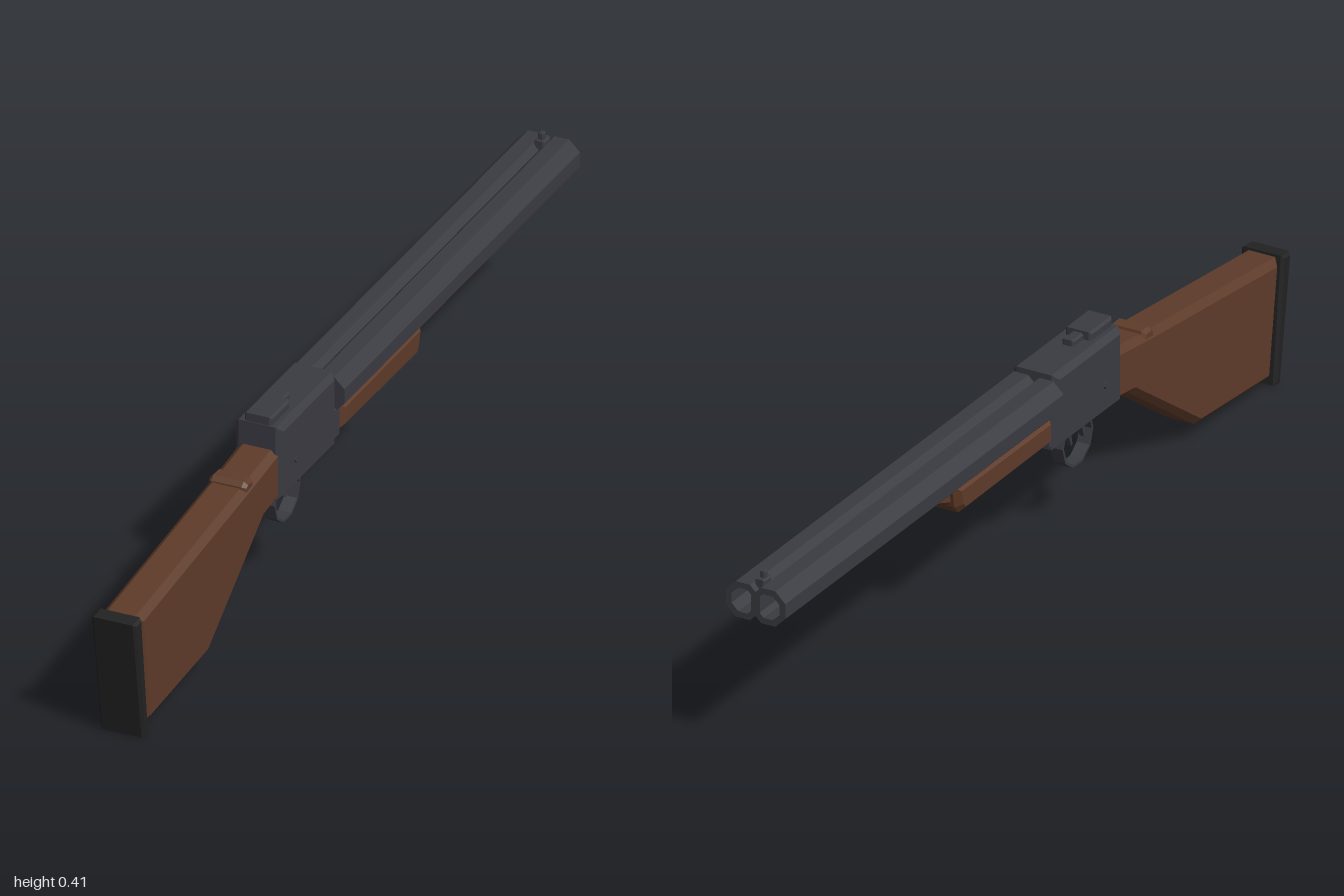
import * as THREE from 'three';

const material = (name, color) => {
  const m = new THREE.MeshStandardMaterial({ color, flatShading: true });
  m.name = name;
  return m;
};

export function createModel() {
  const metal = material('gunmetal', 0x3a3a42);
  const wood = material('walnut', 0x5e3b29);
  const rubber = material('black rubber', 0x222222);
  const root = new THREE.Group();
  root.name = 'doubleBarrelGun';

  const add = (name, geometry, mat, x = 0, y = 0, z = 0) => {
    const mesh = new THREE.Mesh(geometry, mat);
    mesh.name = name;
    mesh.position.set(x, y, z);
    root.add(mesh);
    return mesh;
  };

  // Side profile of [z, y] points, extruded across x with chamfered edges
  const slab = (points, width, bevel) => {
    const shape = new THREE.Shape(points.map(([z, y]) => new THREE.Vector2(z, y)));
    const depth = width - 2 * bevel;
    const g = new THREE.ExtrudeGeometry(shape, {
      depth, bevelEnabled: true, bevelSegments: 1,
      bevelThickness: bevel, bevelSize: bevel, bevelOffset: -bevel,
    });
    g.translate(0, 0, -depth / 2);
    g.rotateY(-Math.PI / 2);
    return g;
  };
  const block = (z0, z1, y0, y1, width, bevel) =>
    slab([[z0, y0], [z1, y0], [z1, y1], [z0, y1]], width, bevel);

  // Shoulder stock, comb ridge and butt pad
  add('stock', slab([
    [0.32, 0.225], [0.395, 0.215], [0.65, 0.037], [0.93, 0.018],
    [0.965, 0.27], [0.47, 0.322], [0.32, 0.34],
  ], 0.088, 0.014), wood);
  add('combRidge', slab([[0.43, 0.29], [0.48, 0.285], [0.48, 0.324], [0.468, 0.332], [0.44, 0.331]],
    0.082, 0.008), wood);
  add('buttPad', slab([[0.934, 0.003], [0.957, 0], [0.999, 0.272], [0.966, 0.275]], 0.097, 0.006), rubber);

  // Receiver, floor plate and top lever
  add('receiver', block(0.08, 0.338, 0.225, 0.39, 0.104, 0.012), metal);
  add('floorPlate', block(0.145, 0.31, 0.212, 0.24, 0.06, 0.004), metal);
  add('hingeBlock', block(0.06, 0.11, 0.24, 0.31, 0.1, 0.004), metal);
  add('topLever', block(0.25, 0.336, 0.38, 0.408, 0.06, 0.005), metal);
  add('leverThumb', block(0.21, 0.26, 0.38, 0.403, 0.026, 0.004), metal);
  for (const side of [-1, 1]) {
    const pin = add('receiverPin', new THREE.CylinderGeometry(0.007, 0.007, 0.006, 6), metal, side * 0.053, 0.29, 0.27);
    pin.rotation.z = Math.PI / 2;
  }

  // Octagonal barrels with bored muzzles
  const R = 0.039 / Math.cos(Math.PI / 8);
  const barrelProfile = [[0, 0], [R, 0], [R, 1.08], [0.028, 1.08], [0.028, 0.98], [0, 0.98]]
    .map(([r, h]) => new THREE.Vector2(r, h));
  for (const side of [-1, 1]) {
    const barrel = add('barrel', new THREE.LatheGeometry(barrelProfile, 8, Math.PI / 8),
      metal, side * 0.029, 0.339, 0.08);
    barrel.rotation.x = -Math.PI / 2;
  }
  add('frontSightBase', block(-0.985, -0.955, 0.365, 0.386, 0.022, 0.003), metal);
  add('frontSight', block(-0.975, -0.962, 0.38, 0.4, 0.012, 0.002), metal);

  // Fore-end under the barrels
  add('foreEnd', slab([[-0.3, 0.262], [-0.285, 0.245], [0.065, 0.248], [0.065, 0.312], [-0.31, 0.312]],
    0.112, 0.014), wood);
  add('foreEndTip', slab([[-0.37, 0.29], [-0.28, 0.258], [-0.28, 0.315], [-0.37, 0.312]], 0.07, 0.008), wood);

  // Trigger guard: flat strip bent into a ring
  const ring = [[0.06, -0.014], [0.06, 0.014], [0.054, 0.014], [0.054, -0.014], [0.06, -0.014]]
    .map(([r, h]) => new THREE.Vector2(r, h));
  const guard = add('triggerGuard', new THREE.LatheGeometry(ring, 10), metal, 0, 0.182, 0.227);
  guard.rotation.z = Math.PI / 2;

  // Twin triggers
  for (const z of [0.262, 0.212]) {
    add('trigger', slab([
      [z - 0.008, 0.22], [z - 0.004, 0.19], [z + 0.004, 0.168],
      [z + 0.009, 0.17], [z + 0.004, 0.195], [z + 0.004, 0.22],
    ], 0.012, 0.001), metal);
  }

  return root;
}
